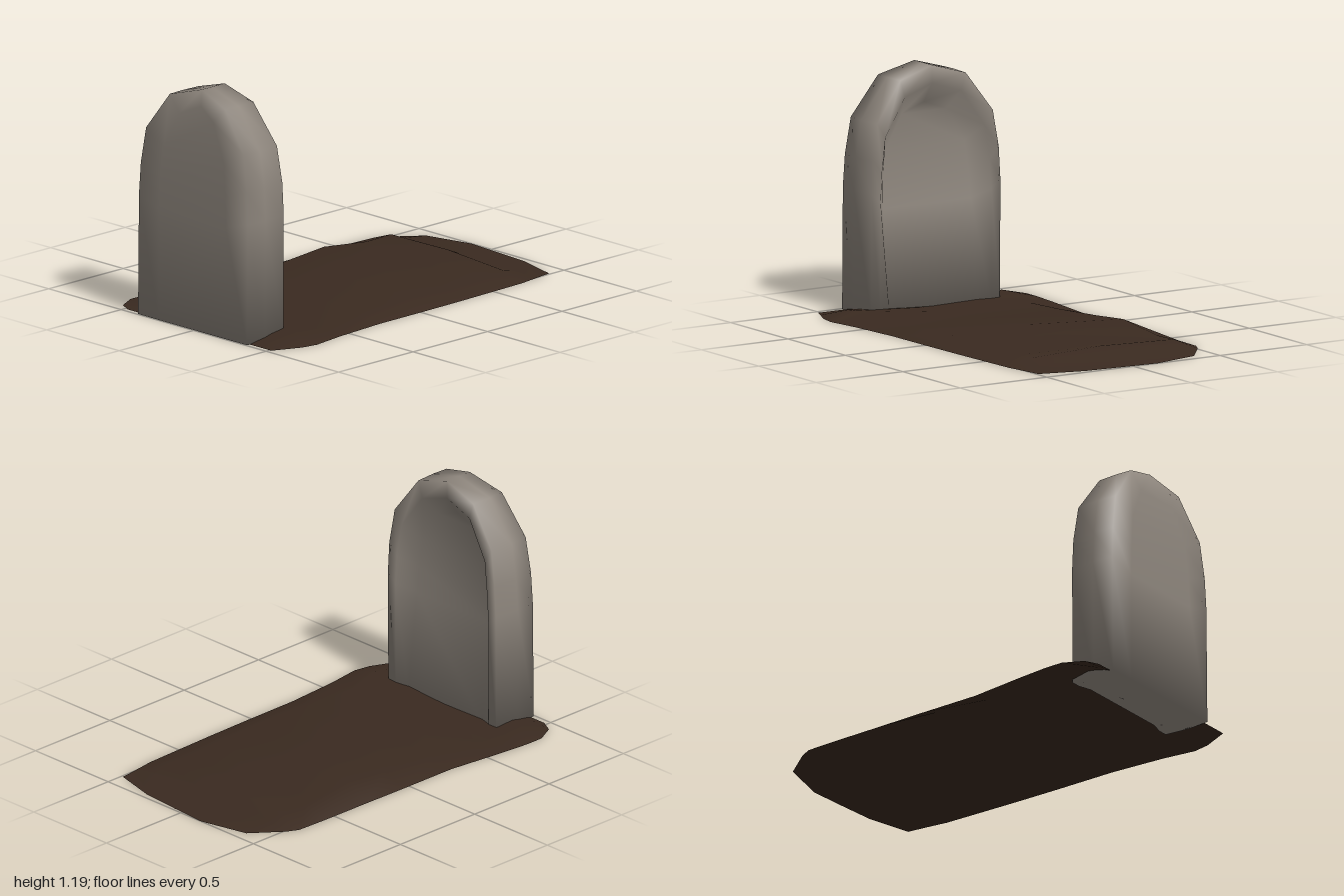
import * as THREE from 'three';

function indexedMesh(name, points, faces, material) {
  const g = new THREE.BufferGeometry();
  g.setAttribute('position', new THREE.Float32BufferAttribute(points.flat(), 3));
  g.setIndex(faces);
  g.computeVertexNormals();
  const mesh = new THREE.Mesh(g, material);
  mesh.name = name;
  return mesh;
}

function createStone(material) {
  const cx = -0.015;
  // half outline from the foot to the peak: half width, height, front z, back z, recess depth
  const half = [
    [0.385, 0, 0.993, 0.745, 0.02], [0.385, 0.6, 0.987, 0.742, 0.08], [0.375, 0.76, 0.984, 0.742, 0.09],
    [0.345, 0.94, 0.977, 0.75, 0.09], [0.195, 1.135, 0.96, 0.768, 0.08], [0, 1.19, 0.93, 0.777, 0.07],
  ];
  const outline = [
    ...half.map(([w, ...rest]) => [-w, ...rest]),
    ...half.slice(0, 5).reverse(),
  ];
  // loops from the front face, around the edge, over the rim and into the back recess:
  // width scale, height scale, blend from front to back, share of recess depth
  const rings = [
    [0.6, 0.93, 0, 0.08], [0.975, 1, 0, 0], [1, 1, 0.45, 0],
    [0.965, 1, 1, 0], [0.83, 0.925, 1, 0], [0.66, 0.84, 1, 1],
  ];
  const n = outline.length, last = (rings.length - 1) * n;
  const points = [], faces = [];
  for (const [sx, sy, t, share] of rings)
    for (const [x, y, f, b, depth] of outline)
      points.push([cx + x * sx, y * sy, THREE.MathUtils.lerp(f, b, t) + share * depth]);
  for (let r = 0; r < rings.length - 1; r++)
    for (let i = 0; i < n - 1; i++) {
      const a = r * n + i, d = a + n;
      faces.push(a, a + 1, d + 1, a, d + 1, d);
    }
  // front face and recessed back panel, bridged left to right
  for (let i = 0; i < 5; i++) {
    const j = n - 1 - i;
    faces.push(i, j, j - 1);
    faces.push(last + i, last + j - 1, last + j);
    if (i < 4) {
      faces.push(i, j - 1, i + 1);
      faces.push(last + i, last + i + 1, last + j - 1);
    }
  }
  const mesh = indexedMesh('headstone', points, faces, material);

  // underside, sharing the foot points
  const loop = [
    ...rings.map((_, r) => r * n),
    ...rings.map((_, r) => r * n + n - 1).reverse(),
  ];
  const flat = loop.map((k) => new THREE.Vector2(points[k][0], points[k][2]));
  if (THREE.ShapeUtils.isClockWise(flat)) { loop.reverse(); flat.reverse(); }
  for (const t of THREE.ShapeUtils.triangulateShape(flat, []))
    faces.push(...t.map((k) => loop[k]));
  mesh.geometry.setIndex(faces);

  // tilt the foot normals down so the shading rolls under evenly
  const normals = mesh.geometry.attributes.normal;
  const v = new THREE.Vector3();
  for (const k of loop) {
    v.fromBufferAttribute(normals, k).setY(-0.8).normalize();
    normals.setXYZ(k, v.x, v.y, v.z);
  }
  return mesh;
}

function createMound(material) {
  // rows from back to front: left x, z, right x, z, then three inner heights
  const rows = [
    [-0.51, -0.79, 0.505, -0.8, 0.02, 0.02, 0.015],
    [-0.54, -0.73, 0.52, -0.7, 0.045, 0.055, 0.035],
    [-0.545, -0.57, 0.525, -0.57, 0.04, 0.04, 0.03],
    [-0.547, -0.28, 0.535, -0.28, 0.072, 0.045, 0.035],
    [-0.55, -0.04, 0.54, -0.04, 0.052, 0.05, 0.042],
    [-0.55, 0.28, 0.543, 0.28, 0.032, 0.032, 0.03],
    [-0.585, 0.58, 0.565, 0.57, 0.012, 0.012, 0.012],
    [-0.6, 0.745, 0.59, 0.745, 0.02, 0.012, 0.04],
    [-0.6, 0.84, 0.575, 0.83, 0.032, 0.01, 0.03],
    [-0.55, 0.94, 0.535, 0.92, 0.012, 0.005, 0.012],
    [-0.48, 0.975, 0.51, 0.975, 0, 0, 0],
  ];
  const columns = [0, 0.12, 0.5, 0.88, 1];
  // rounded back edge
  const points = [[-0.39, 0, -0.94], [-0.14, 0, -1], [0.05, 0, -0.987], [0.26, 0, -0.97], [0.49, 0, -0.91]];
  for (const [xl, zl, xr, zr, ...h] of rows)
    columns.forEach((u, c) => points.push([
      THREE.MathUtils.lerp(xl, xr, u), [0, ...h, 0][c], THREE.MathUtils.lerp(zl, zr, u),
    ]));
  const faces = [];
  for (let r = 0; r < rows.length; r++)
    for (let c = 0; c < 4; c++) {
      const a = r * 5 + c, d = a + 5;
      faces.push(a, d, d + 1, a, d + 1, a + 1);
    }
  return indexedMesh('earthMound', points, faces, material);
}

export function createModel() {
  const stone = new THREE.MeshStandardMaterial({ color: 0x8e867d });
  stone.name = 'grey stone';
  const earth = new THREE.MeshStandardMaterial({ color: 0x3a2a20, side: THREE.DoubleSide });
  earth.name = 'dark earth';
  const model = new THREE.Group();
  model.name = 'grave';
  model.add(createStone(stone), createMound(earth));
  return model;
}
